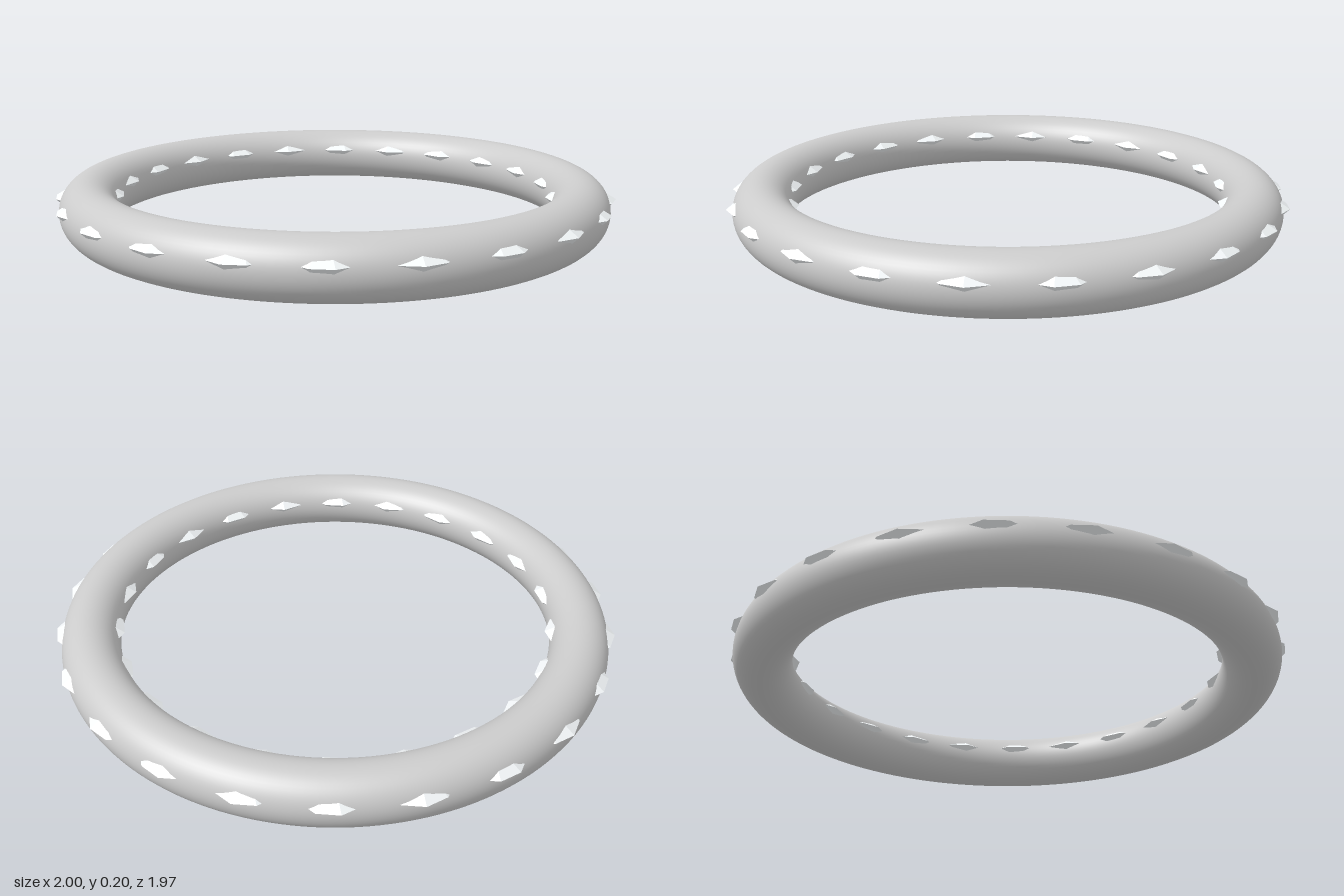
import * as THREE from 'three';

const RING_RADIUS = 0.877, TUBE = 0.1025, RING_Y = 0.105;
const GEM_COUNT = 22, GEM_RADIUS = 0.123, GEM_Y = 0.136, SIDES = 10;

// Ten-sided cut stone: short crown above the girdle, pointed pavilion below
function createGem(material) {
  const gem = new THREE.Group();
  const addCone = (name, top, bottom, height, y) => {
    const geometry = new THREE.CylinderGeometry(top, bottom, height, SIDES, 1, true, Math.PI / 2);
    const mesh = new THREE.Mesh(geometry, material);
    mesh.name = name;
    mesh.position.y = y;
    gem.add(mesh);
  };
  addCone('crown', 0.057, GEM_RADIUS, 0.04, 0.02);
  addCone('pavilion', GEM_RADIUS, 0.004, 0.115, -0.0575);

  // Flat table closing the crown
  const table = new THREE.Mesh(new THREE.CircleGeometry(0.057, SIDES), material);
  table.name = 'table';
  table.rotation.x = -Math.PI / 2;
  table.position.y = 0.04;
  gem.add(table);
  return gem;
}

export function createModel() {
  const model = new THREE.Group();
  model.name = 'ring';

  // Round band lying flat
  const band = new THREE.Mesh(
    new THREE.TorusGeometry(RING_RADIUS, TUBE, 48, 160),
    new THREE.MeshStandardMaterial({ color: 0xcccccc })
  );
  band.name = 'band';
  band.rotation.x = -Math.PI / 2;
  band.position.y = RING_Y;
  model.add(band);

  // Stones set through the band, all facing the same way
  const gemMaterial = new THREE.MeshStandardMaterial({ color: 0xf2f6f8, flatShading: true });
  const gems = new THREE.Group();
  gems.name = 'gems';
  for (let i = 0; i < GEM_COUNT; i++) {
    const a = (i / GEM_COUNT) * Math.PI * 2;
    const gem = createGem(gemMaterial);
    gem.name = 'gem';
    gem.position.set(Math.cos(a) * RING_RADIUS, GEM_Y, Math.sin(a) * RING_RADIUS);
    gems.add(gem);
  }
  model.add(gems);
  return model;
}
